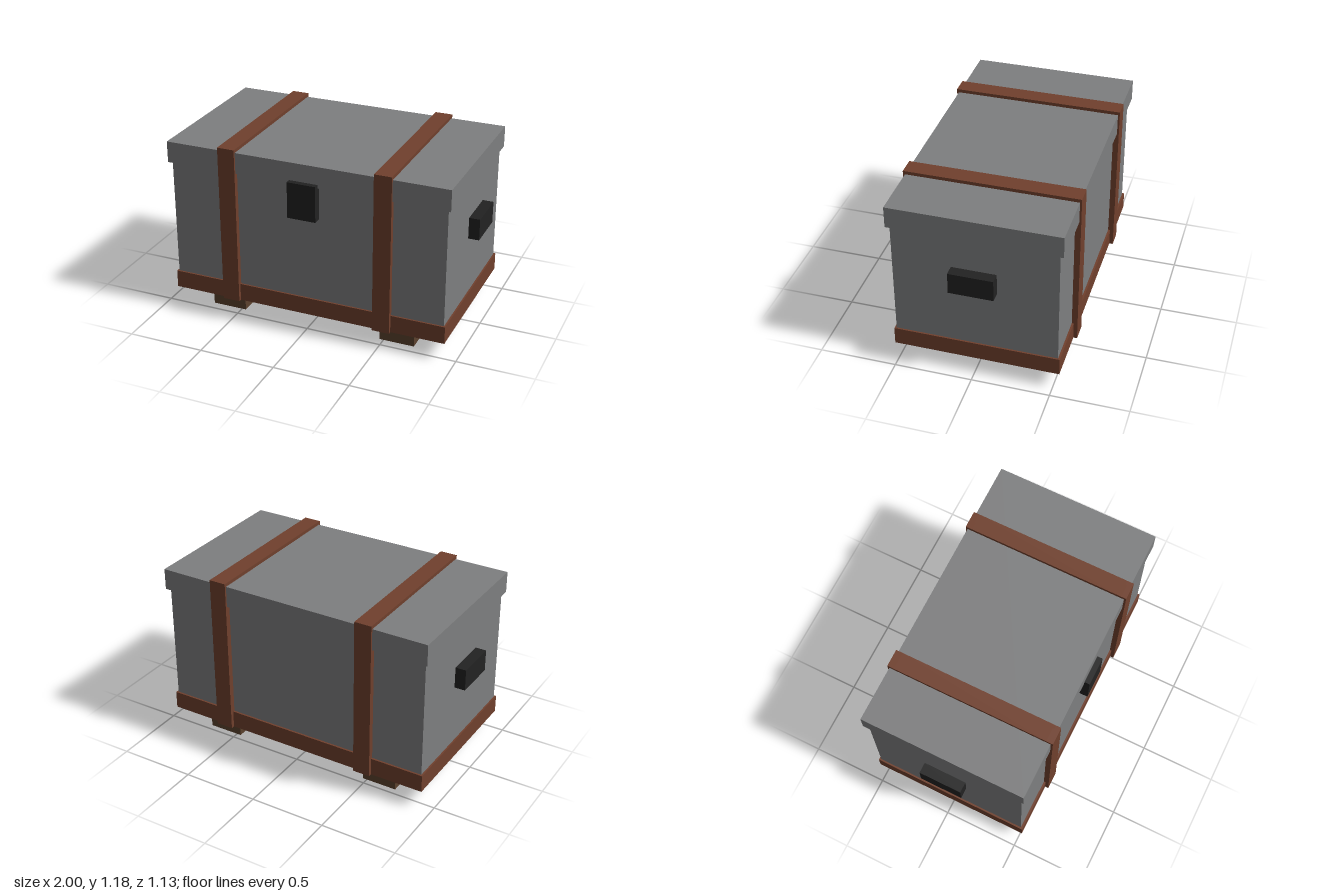
import * as THREE from 'three';

export function createModel() {
  const model = new THREE.Group();
  model.name = 'chest';

  const material = (name, color) => {
    const m = new THREE.MeshStandardMaterial({ color });
    m.name = name;
    return m;
  };
  const grey = material('grey panel', 0x7e7f80);
  const leather = material('red brown strap', 0x70402d);
  const wood = material('dark wood', 0x5b412d);
  const black = material('black iron', 0x222222);

  // Box given by its extents [min, max] on each axis
  const box = (name, mat, [x0, x1], [y0, y1], [z0, z1], parent = model) => {
    const mesh = new THREE.Mesh(new THREE.BoxGeometry(x1 - x0, y1 - y0, z1 - z0), mat);
    mesh.position.set((x0 + x1) / 2, (y0 + y1) / 2, (z0 + z1) / 2);
    mesh.name = name;
    parent.add(mesh);
    return mesh;
  };

  // Body, lid and the band around the base; the body floor sits just below the band
  box('body', grey, [-0.917, 0.917], [0.118, 1.03], [-0.528, 0.508]);
  box('lid', grey, [-0.938, 0.938], [1.015, 1.155], [-0.553, 0.53]);
  box('baseBand', leather, [-0.928, 0.928], [0.12, 0.236], [-0.541, 0.52]);

  for (const [side, s] of [['left', 1], ['right', -1]]) {
    // Strap running up the front, over the lid and down the back
    const strap = new THREE.Group();
    strap.name = side + 'Strap';
    model.add(strap);
    const x = [s * 0.518 - 0.057, s * 0.518 + 0.057];
    box('strapFront', leather, x, [0.12, 1.177], [0.5, 0.543], strap);
    box('strapBack', leather, x, [0.12, 1.177], [-0.565, -0.52], strap);
    box('strapTop', leather, x, [1.14, 1.177], [-0.53, 0.51], strap);

    // Foot runner and end handle
    box(side + 'Foot', wood, [s * 0.588 - 0.116, s * 0.588 + 0.116], [0, 0.12], [-0.458, 0.437]);
    box(side + 'Handle', black, [s * 0.965 - 0.035, s * 0.965 + 0.035], [0.66, 0.801], [-0.151, 0.131]);
  }

  // Lock plate over the lid joint
  box('lock', black, [-0.095, 0.093], [0.8, 1.038], [0.508, 0.565]);

  return model;
}
